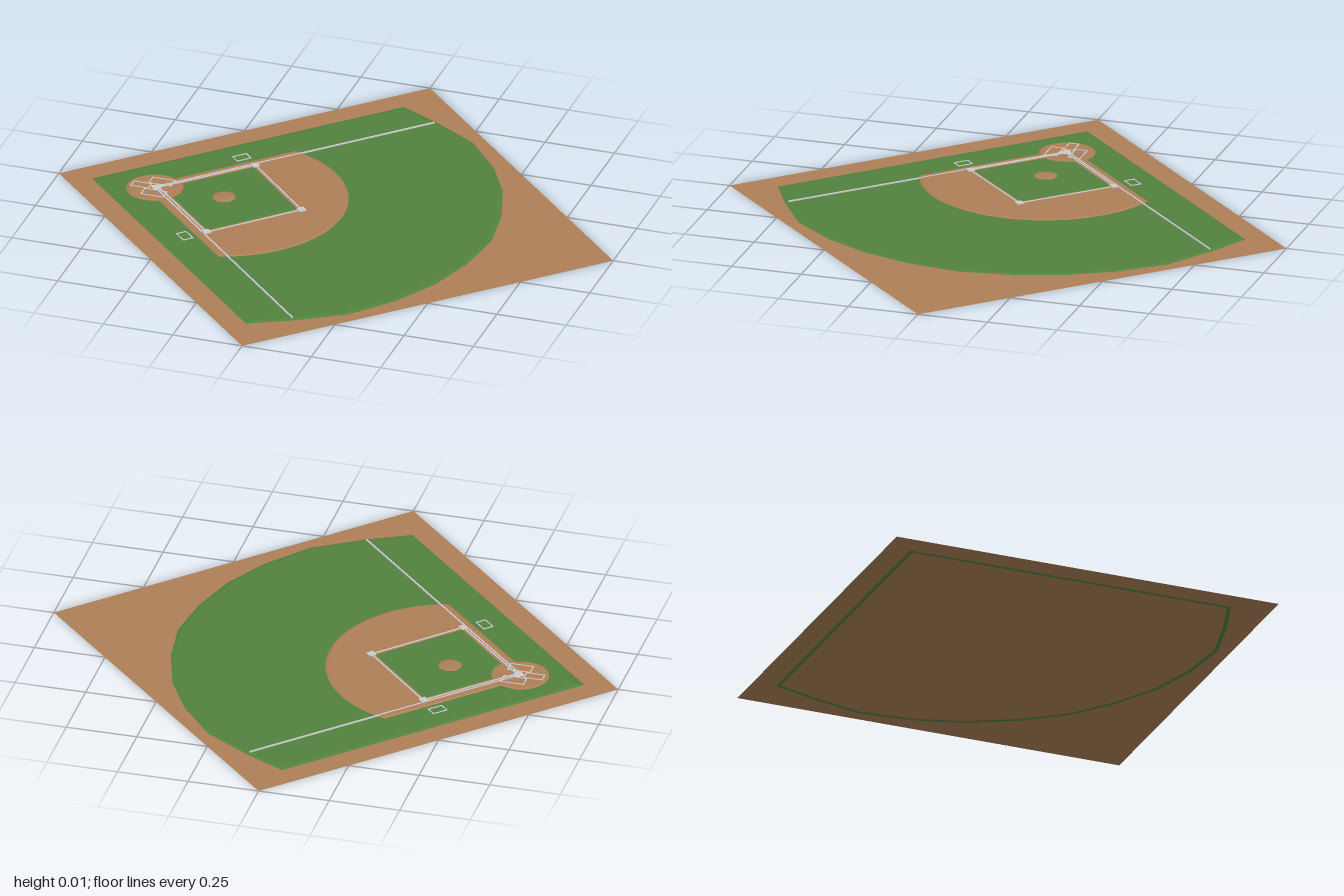
import * as THREE from 'three';

const paint = (color) => new THREE.MeshStandardMaterial({ color, side: THREE.DoubleSide });
const dirt = paint(0xac7f56), grass = paint(0x52823e), chalk = paint(0xcccccc);
const V = (x, y) => new THREE.Vector2(x, y);

// Points along an arc, angles in degrees
function arc(cx, cy, r, from, to, n) {
  return Array.from({ length: n + 1 }, (_, i) => {
    const a = THREE.MathUtils.degToRad(from + (to - from) * i / n);
    return V(cx + r * Math.cos(a), cy + r * Math.sin(a));
  });
}

// Move a counter-clockwise outline inwards by d
function inset(pts, d) {
  const n = pts.length;
  const normal = (a, b) => V(a.y - b.y, b.x - a.x).normalize();
  return pts.map((p, i) => {
    const m = normal(pts[(i + n - 1) % n], p), k = normal(p, pts[(i + 1) % n]);
    return p.clone().addScaledVector(m.clone().add(k), d / (1 + m.dot(k)));
  });
}

// Horizontal sheet from an outline
function sheet(pts, y, hole) {
  const shape = new THREE.Shape(pts);
  if (hole) shape.holes.push(new THREE.Path(hole));
  return new THREE.ShapeGeometry(shape).rotateX(-Math.PI / 2).translate(0, y, 0);
}

// Sloped border between two matching outlines
function skirt(outer, inner, y0, y1) {
  const pos = [];
  outer.forEach((o, i) => {
    const j = (i + 1) % outer.length;
    const a = [o.x, y0, -o.y], b = [outer[j].x, y0, -outer[j].y];
    const c = [inner[j].x, y1, -inner[j].y], d = [inner[i].x, y1, -inner[i].y];
    pos.push(...a, ...b, ...c, ...a, ...c, ...d);
  });
  const g = new THREE.BufferGeometry();
  g.setAttribute('position', new THREE.Float32BufferAttribute(pos, 3));
  g.computeVertexNormals();
  return g;
}

export function createModel() {
  const model = new THREE.Group();
  model.name = 'baseballField';

  const add = (name, geometry, material, parent = model) => {
    const mesh = new THREE.Mesh(geometry, material);
    mesh.name = name;
    parent.add(mesh);
    return mesh;
  };
  const pad = (name, outline, bevel, y0, y1, material) => {
    const top = inset(outline, bevel);
    add(name, sheet(top, y1), material);
    add(name + 'Edge', skirt(outline, top, y0, y1), material);
  };
  const line = (name, x1, z1, x2, z2, w, top, parent = model) => {
    const m = add(name, new THREE.BoxGeometry(Math.hypot(x2 - x1, z2 - z1) + w, 0.004, w), chalk, parent);
    m.position.set((x1 + x2) / 2, top - 0.002, (z1 + z2) / 2);
    m.rotation.y = -Math.atan2(z2 - z1, x2 - x1);
  };
  // Chalk rectangle outline
  const box = (name, x, z, w, d, top, turn = 0) => {
    const g = new THREE.Group();
    g.name = name;
    const a = w / 2, b = d / 2;
    [[-a, -b, a, -b], [a, -b, a, b], [a, b, -a, b], [-a, b, -a, -b]]
      .forEach((s) => line(name + 'Side', ...s, 0.004, top, g));
    g.position.set(x, 0, z);
    g.rotation.y = turn;
    model.add(g);
  };

  // Outfield outline, with its curved fence side
  const half = [V(0.535, 0.185), V(0.48, 0.36), V(0.395, 0.515), V(0.27, 0.665), V(0.10, 0.77), V(-0.04, 0.84)];
  const field = [V(0.56, 0), ...half, V(-0.88, 0), ...half.map((p) => V(p.x, -p.y)).reverse()];

  // Square lot, cut around the lawn, and the base under the lawn
  add('lot', sheet([V(1, 0), V(0, 1), V(-1, 0), V(0, -1)], 0, field), dirt);
  add('lawnBase', sheet(inset(field, 0.014), 0), dirt);
  pad('lawn', field, 0.014, 0, 0.003, grass);

  // Infield dirt with home circle, and the inner grass diamond
  const skin = [...arc(-0.405, 0, 0.427, -73.7, 73.7, 32), ...arc(-0.655, 0, 0.097, 62, 298, 28)];
  pad('infieldDirt', skin, 0.008, 0.003, 0.006, dirt);
  const diamond = [V(-0.14, 0), V(-0.38, 0.245), ...arc(-0.655, 0, 0.1, 32, -32, 10), V(-0.38, -0.245)];
  pad('infieldGrass', diamond, 0.004, 0.006, 0.0075, grass);

  // Pitcher's mound
  const profile = [V(0.04, 0.0075), V(0.033, 0.0105), V(0.018, 0.012), V(0, 0.0125)];
  add('mound', new THREE.LatheGeometry(profile, 24), dirt).position.set(-0.405, 0, -0.004);

  // Bases, base lines, foul lines and boxes, mirrored on both sides
  const base = (name, x, z) => {
    const m = add(name, new THREE.BoxGeometry(0.026, 0.005, 0.026), chalk);
    m.position.set(x, 0.0075, z);
    m.rotation.y = Math.PI / 4;
  };
  base('secondBase', -0.125, 0);
  for (const s of [-1, 1]) {
    base(s > 0 ? 'firstBase' : 'thirdBase', -0.38, s * 0.258);
    line('baseLine', -0.64, 0, -0.38, s * 0.26, 0.006, 0.008);
    line('baseLine', -0.38, s * 0.26, -0.125, 0, 0.006, 0.008);
    line('foulLine', -0.655, 0, 0.097, s * 0.755, 0.006, 0.007);
    box('batterBox', -0.642, s * 0.043, 0.08, 0.042, 0.0075);
    box('coachBox', -0.443, s * 0.304, 0.052, 0.036, 0.005, -s * Math.PI / 4);
  }
  box('catcherBox', -0.703, 0, 0.064, 0.034, 0.0075);

  // Home plate, pointing to the backstop
  const plate = [V(-0.632, -0.018), V(-0.632, 0.018), V(-0.652, 0.018), V(-0.67, 0), V(-0.652, -0.018)];
  pad('homePlate', plate, 0.002, 0.006, 0.009, chalk);

  return model;
}
